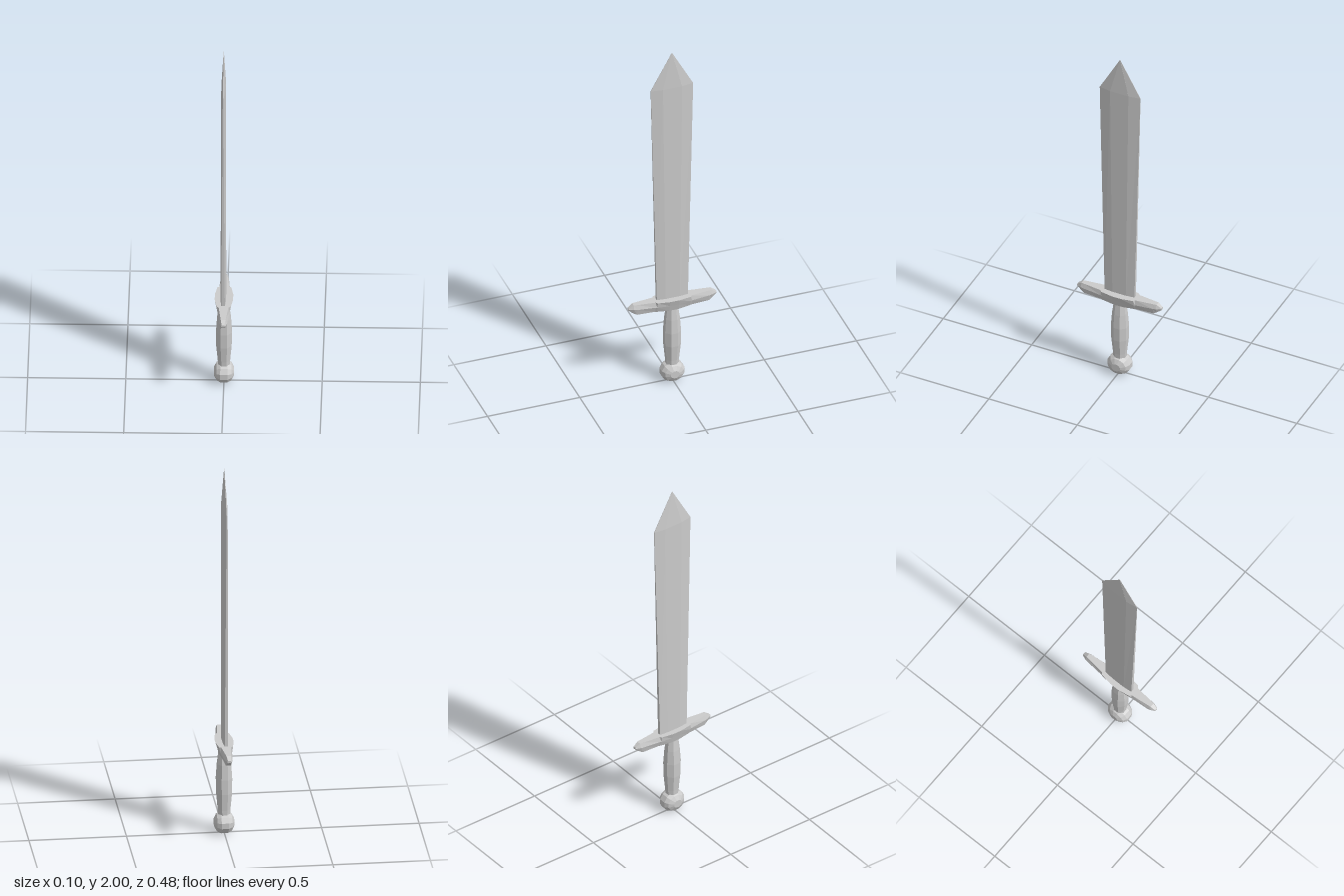
import * as THREE from 'three';

const material = new THREE.MeshStandardMaterial({ color: 0xcccccc, flatShading: true });

// Skin a list of rings (counter-clockwise seen from the far end) and cap both ends
function loft(rings) {
  const pos = [];
  const tri = (...pts) => pts.forEach((p) => pos.push(p.x, p.y, p.z));
  const n = rings[0].length;
  for (let i = 0; i < rings.length - 1; i++) {
    for (let j = 0; j < n; j++) {
      const k = (j + 1) % n;
      const [a, b, c, d] = [rings[i][j], rings[i][k], rings[i + 1][k], rings[i + 1][j]];
      tri(a, b, c);
      tri(a, c, d);
    }
  }
  const first = rings[0], last = rings[rings.length - 1];
  for (let j = 1; j < n - 1; j++) {
    tri(first[0], first[j + 1], first[j]);
    tri(last[0], last[j], last[j + 1]);
  }
  const g = new THREE.BufferGeometry();
  g.setAttribute('position', new THREE.Float32BufferAttribute(pos, 3));
  g.computeVertexNormals();
  return g;
}

function part(name, geometry) {
  const mesh = new THREE.Mesh(geometry, material);
  mesh.name = name;
  return mesh;
}

// Blade section: half width along z, half thickness along x, half edge thickness
function bladeRing(y, w, t, e, cx) {
  const s = w * 0.45;
  return [[w, -e], [w, e], [s, t], [-s, t], [-w, e], [-w, -e], [-s, -t], [s, -t]]
    .map(([z, x]) => new THREE.Vector3(x + cx, y, z));
}

// Guard section: half widths at top, middle and bottom with their heights
function guardRing([z, top, mid, bottom, yTop, yMid, yBottom]) {
  return [[bottom, yBottom], [mid, yMid], [top, yTop], [-top, yTop], [-mid, yMid], [-bottom, yBottom]]
    .map(([x, y]) => new THREE.Vector3(x, y, z));
}

export function createModel() {
  const sword = new THREE.Group();
  sword.name = 'sword';

  // Blade widening toward the shoulder, then a straight point
  sword.add(part('blade', loft([
    bladeRing(0.49, 0.084, 0.014, 0.009, -0.003),
    bladeRing(1.79, 0.115, 0.011, 0.0015, -0.002),
    bladeRing(2.0, 0.001, 0.0008, 0.0004, -0.001),
  ])));

  // Cross guard: broad flared centre, slimmer arms, bevelled tips
  const half = [
    [0.025, 0.047, 0.038, 0.028, 0.505, 0.475, 0.44],
    [0.09, 0.036, 0.032, 0.022, 0.505, 0.475, 0.445],
    [0.098, 0.025, 0.030, 0.020, 0.505, 0.477, 0.446],
    [0.195, 0.014, 0.022, 0.014, 0.505, 0.480, 0.446],
    [0.212, 0.012, 0.020, 0.012, 0.505, 0.482, 0.456],
    [0.238, 0.007, 0.010, 0.007, 0.488, 0.482, 0.476],
  ];
  const mirrored = half.map(([z, ...rest]) => [-z, ...rest]).reverse();
  sword.add(part('crossGuard', loft([...mirrored, ...half].map(guardRing))));

  // Eight-sided swelling grip, slightly deeper than wide
  const gripProfile = [
    [0, 0.09], [0.034, 0.09], [0.036, 0.13], [0.045, 0.22], [0.046, 0.30],
    [0.040, 0.38], [0.031, 0.445], [0, 0.445],
  ].map(([r, y]) => new THREE.Vector2(r, y));
  const grip = new THREE.LatheGeometry(gripProfile, 8);
  grip.rotateY(Math.PI / 8);
  grip.scale(0.95, 1, 1.02);
  sword.add(part('grip', grip));

  // Disc pommel lying across the x axis with stepped bevels
  const pommelProfile = [
    [0, -0.051], [0.024, -0.051], [0.050, -0.038], [0.063, -0.018],
    [0.063, 0.018], [0.050, 0.038], [0.024, 0.051], [0, 0.051],
  ].map(([r, y]) => new THREE.Vector2(r, y));
  const pommel = new THREE.LatheGeometry(pommelProfile, 12);
  pommel.rotateY(Math.PI / 12);
  pommel.rotateZ(Math.PI / 2);
  pommel.scale(1, 0.91, 1.02);
  pommel.translate(0, 0.0555, 0);
  sword.add(part('pommel', pommel));

  return sword;
}
